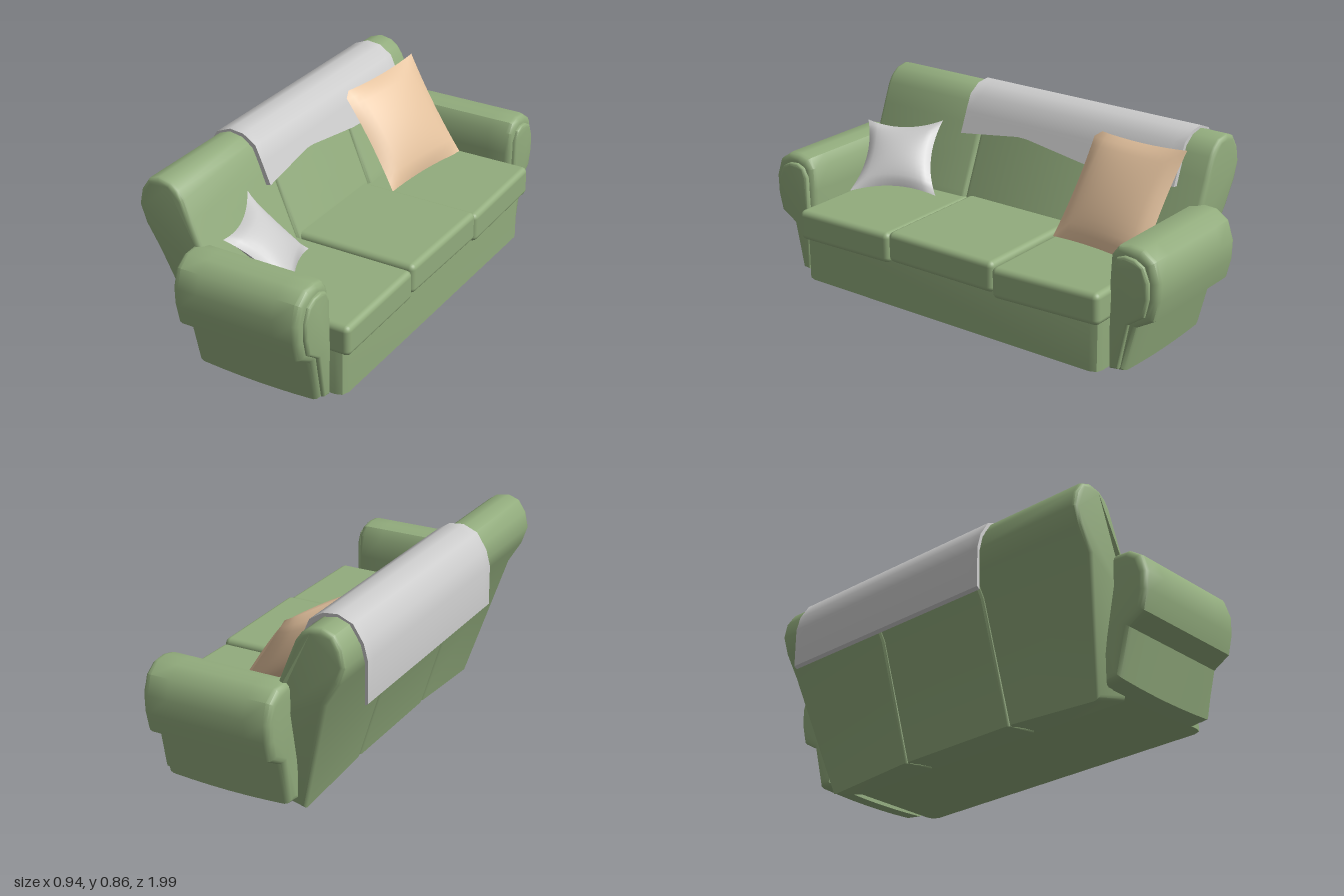
import * as THREE from 'three';
import { toCreasedNormals } from 'three/addons/utils/BufferGeometryUtils.js';
import { RoundedBoxGeometry } from 'three/addons/geometries/RoundedBoxGeometry.js';

const GREEN = 0x92ac7d, TAN = 0xe4c29e, GREY = 0xcccccc;

function part(name, geometry, color) {
  const material = new THREE.MeshStandardMaterial({ color });
  const mesh = new THREE.Mesh(geometry, material);
  mesh.name = name;
  return mesh;
}

// Extrudes an outline along z, centred, with edges bevelled inwards
function extrude(points, length, bevel = 0, steps = 1) {
  const shape = new THREE.Shape(points.map(([x, y]) => new THREE.Vector2(x, y)));
  const geo = new THREE.ExtrudeGeometry(shape, {
    depth: length - 2 * bevel, steps, bevelEnabled: bevel > 0, bevelSegments: 3,
    bevelSize: bevel, bevelThickness: bevel, bevelOffset: -bevel,
  });
  return geo.translate(0, 0, bevel - length / 2);
}

// Moves every vertex by a rule
function reshape(geo, rule) {
  const pos = geo.attributes.position, v = new THREE.Vector3();
  for (let i = 0; i < pos.count; i++) {
    v.fromBufferAttribute(pos, i);
    rule(v);
    pos.setXYZ(i, v.x, v.y, v.z);
  }
  geo.computeVertexNormals();
  return geo;
}

// Backrest section: leaning side profile, narrowing towards the floor
const BACK = [
  [-0.205, 0.003], [-0.04, 0.05], [-0.04, 0.32], [-0.08, 0.42], [-0.155, 0.6], [-0.195, 0.7],
  [-0.23, 0.785], [-0.255, 0.82], [-0.29, 0.845], [-0.345, 0.855], [-0.395, 0.837],
  [-0.43, 0.785], [-0.445, 0.715], [-0.42, 0.64], [-0.36, 0.54],
];
function backSection(name, z0, z1) {
  const geo = extrude(BACK, z1 - z0, 0.02).translate(0, 0, (z0 + z1) / 2);
  reshape(geo, (v) => {
    if (Math.abs(v.z) > 0.4) v.z *= 1 - 0.13 * Math.max(0, 1 - v.y / 0.55);
    if (Math.abs(v.z) < 0.32) v.y = Math.max(v.y, 0.03);
  });
  return part(name, toCreasedNormals(geo, 0.65), GREEN);
}

// Rolled arm: outline as [distance from centre, height]
const ARM = [
  [0.775, 0.05], [0.85, 0.06], [0.9, 0.27], [0.975, 0.315], [0.995, 0.4], [0.997, 0.48],
  [0.97, 0.56], [0.915, 0.598], [0.855, 0.602], [0.805, 0.59], [0.775, 0.55], [0.77, 0.45], [0.77, 0.28],
];
const ARM_FACE = [
  [0.795, 0.08], [0.835, 0.085], [0.875, 0.285], [0.945, 0.335], [0.962, 0.41], [0.96, 0.48],
  [0.935, 0.54], [0.895, 0.562], [0.85, 0.566], [0.815, 0.552], [0.795, 0.51], [0.79, 0.3],
];
function arm(name, side) {
  const group = new THREE.Group();
  group.name = name;
  // the extrusion is turned to run front to back
  const outline = (pts) => pts.map(([z, y]) => [-side * z, y]);
  const body = extrude(outline(ARM), 0.58, 0.03, 6).rotateY(Math.PI / 2).translate(0.09, 0, 0);
  reshape(body, (v) => {
    if (v.y < 0.12) v.y += 0.012 * Math.min(1, ((v.x - 0.09) / 0.29) ** 2);
  });
  group.add(part('armRoll', toCreasedNormals(body, 0.65), GREEN));
  const face = extrude(outline(ARM_FACE), 0.05, 0.012).rotateY(Math.PI / 2).translate(0.371, 0, 0);
  group.add(part('armFrontPanel', toCreasedNormals(face, 0.65), GREEN));
  return group;
}

// Throw pillow stretched between four corners, pinched at the edges
function pillow(name, color, [tl, tr, br, bl], bulge, pinch) {
  const group = new THREE.Group();
  group.name = name;
  const [TL, TR, BR, BL] = [tl, tr, br, bl].map((c) => new THREE.Vector3(...c));
  const across = TR.clone().sub(BL), up = TL.clone().sub(BR);
  const normal = across.cross(up).normalize();
  for (const sign of [1, -1]) {
    const geo = new THREE.PlaneGeometry(2, 2, 14, 14);
    if (sign < 0) geo.rotateY(Math.PI);
    reshape(geo, (v) => {
      const puff = Math.pow(Math.max(0, (1 - v.x * v.x) * (1 - v.y * v.y)), 0.6);
      const a = (1 + v.x * (1 - pinch * (1 - v.y * v.y))) / 2;
      const b = (1 + v.y * (1 - pinch * (1 - v.x * v.x))) / 2;
      const top = TL.clone().lerp(TR, a), bottom = BL.clone().lerp(BR, a);
      v.copy(bottom.lerp(top, b)).addScaledVector(normal, sign * bulge * puff);
    });
    group.add(part(sign > 0 ? 'pillowFront' : 'pillowBack', geo, color));
  }
  return group;
}

// Blanket draped over the backrest, with a front hem that rises in the middle
function blanket() {
  const outer = [
    [-0.475, 0.525], [-0.474, 0.7], [-0.455, 0.77], [-0.41, 0.84], [-0.345, 0.867], [-0.28, 0.86],
    [-0.222, 0.822], [-0.19, 0.75], [-0.15, 0.655],
  ];
  const inner = [
    [-0.172, 0.652], [-0.207, 0.742], [-0.236, 0.808], [-0.285, 0.845], [-0.345, 0.853],
    [-0.402, 0.826], [-0.443, 0.762], [-0.46, 0.695], [-0.461, 0.515],
  ];
  const geo = extrude([...outer, ...inner], 1.1, 0, 22).translate(0, 0, -0.18);
  reshape(geo, (v) => {
    if (v.x < -0.18 || v.y > 0.7) return;
    const rise = 0.045 * Math.max(0, 1 - Math.abs(v.z - 0.05) / 0.35);
    v.y += rise;
    v.x -= rise * 0.42;
  });
  return part('blanket', toCreasedNormals(geo, 0.65), GREY);
}

export function createModel() {
  const sofa = new THREE.Group();
  sofa.name = 'sofa';

  // Plinth under the seat, with softened front corners
  const plinth = extrude([
    [-0.13, -0.77], [0.4, -0.77], [0.428, -0.76], [0.44, -0.73],
    [0.44, 0.73], [0.428, 0.76], [0.4, 0.77], [-0.13, 0.77],
  ], 0.215).rotateX(-Math.PI / 2).translate(0, 0.1725, 0);
  sofa.add(part('base', toCreasedNormals(plinth, 0.65), GREEN));

  // Backrest in three sections
  sofa.add(backSection('backRight', -0.86, -0.29));
  sofa.add(backSection('backMiddle', -0.29, 0.29));
  sofa.add(backSection('backLeft', 0.29, 0.86));

  // Arms
  sofa.add(arm('leftArm', 1), arm('rightArm', -1));

  // Seat cushions: name, centre z, width, centre height, tilt
  for (const [name, z, width, y, tilt] of [
    ['seatCushionLeft', 0.526, 0.505, 0.327, 0.02],
    ['seatCushionMiddle', 0, 0.548, 0.345, 0],
    ['seatCushionRight', -0.526, 0.515, 0.335, 0.035],
  ]) {
    const cushion = part(name, new RoundedBoxGeometry(0.62, 0.135, width, 3, 0.025), GREEN);
    cushion.position.set(0.157, y, z);
    cushion.rotation.x = tilt;
    sofa.add(cushion);
  }

  // Blanket and throw pillows
  sofa.add(blanket());
  sofa.add(pillow('largePillow', TAN, [
    [-0.217, 0.797, -0.305], [-0.148, 0.823, -0.787], [0.13, 0.406, -0.762], [0.053, 0.396, -0.279],
  ], 0.05, 0.05));
  sofa.add(pillow('smallPillow', GREY, [
    [-0.063, 0.652, 0.835], [-0.18, 0.684, 0.495], [0.03, 0.417, 0.372], [0.196, 0.41, 0.725],
  ], 0.05, 0.2));

  return sofa;
}
